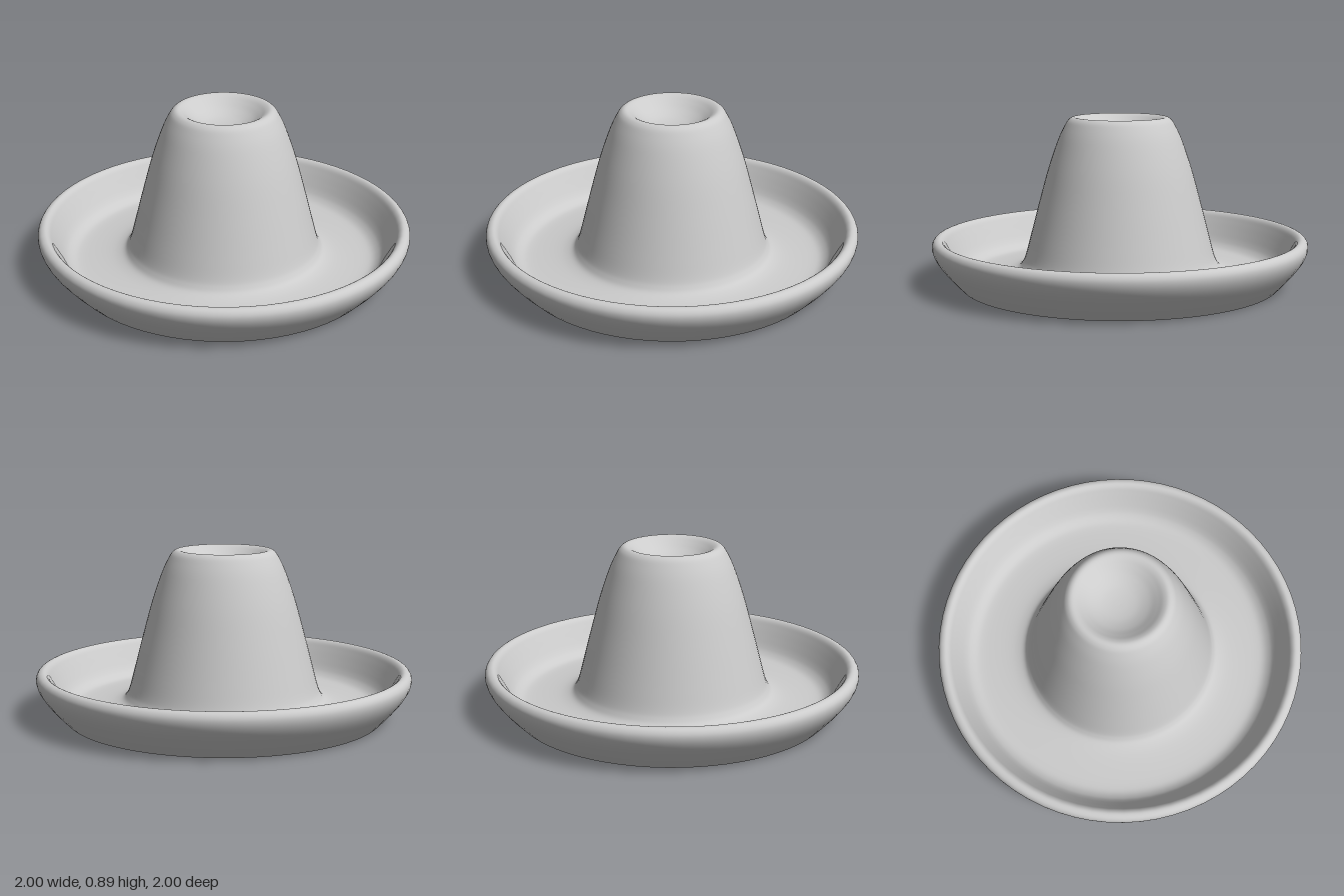
import * as THREE from 'three';

// Half section as [radius, height], from the foot of the brim to the crown centre
const PROFILE = [
  // flared outer wall and rolled rim
  [0.85, 0], [0.91, 0.063], [0.965, 0.13], [0.993, 0.18], [1, 0.22],
  [0.987, 0.247], [0.962, 0.256], [0.94, 0.243], [0.92, 0.21],
  // inner wall and shallow trough
  [0.89, 0.155], [0.865, 0.112], [0.842, 0.084], [0.81, 0.064], [0.77, 0.058],
  [0.7, 0.06], [0.63, 0.066], [0.58, 0.075], [0.543, 0.09],
  // tapered crown
  [0.522, 0.115], [0.505, 0.155], [0.477, 0.26], [0.43, 0.44], [0.38, 0.62],
  [0.328, 0.77], [0.29, 0.85], [0.268, 0.88], [0.245, 0.89],
  // dimple
  [0.22, 0.882], [0.19, 0.86], [0.15, 0.832], [0.1, 0.81], [0.05, 0.8], [0, 0.797],
];

export function createModel() {
  const hat = new THREE.Group();
  hat.name = 'wideBrimHat';

  // One thin shell, open underneath
  const curve = new THREE.SplineCurve(PROFILE.map(([r, y]) => new THREE.Vector2(r, y)));
  const points = curve.getPoints((PROFILE.length - 1) * 5);
  const shell = new THREE.Mesh(
    new THREE.LatheGeometry(points, 72),
    new THREE.MeshStandardMaterial({ color: 0xcccccc, side: THREE.DoubleSide }),
  );
  shell.name = 'hatShell';
  hat.add(shell);

  return hat;
}
